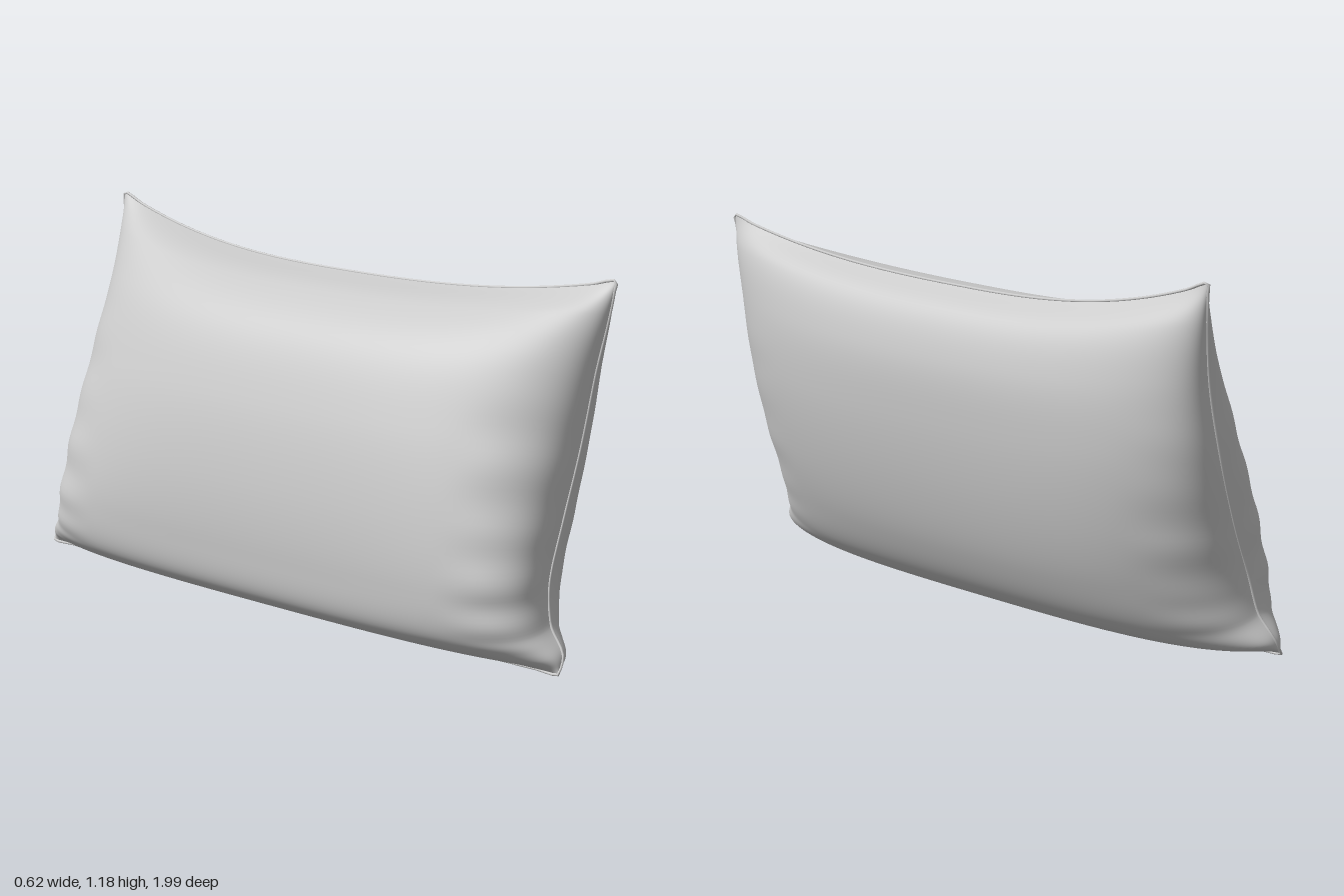
import * as THREE from 'three';

const curve = (pts) => new THREE.CatmullRomCurve3(pts.map(([x, y]) => new THREE.Vector3(x, y, 0)));

// Cross-sections from bottom seam to top seam (x, y)
const rightSection = curve([[-0.1, 0.008], [-0.213, 0.04], [-0.288, 0.1], [-0.31, 0.24], [-0.3, 0.45],
  [-0.24, 0.7], [-0.133, 0.915], [0.0, 1.007], [0.155, 1.04]]);
const leftSection = curve([[-0.1, 0.008], [0.04, 0.014], [0.13, 0.075], [0.21, 0.21], [0.272, 0.41],
  [0.306, 0.65], [0.301, 0.84], [0.246, 0.98], [0.155, 1.04]]);
// Leaning seam line at both ends
const endSeam = curve([[-0.125, 0.027], [-0.095, 0.08], [-0.082, 0.15], [-0.06, 0.27], [0.0, 0.43],
  [0.075, 0.65], [0.122, 0.87], [0.153, 1.035], [0.165, 1.135]]);
// Half-length (first number) against the same parameter, with pulled-out corners
const frontReach = curve([[0.992, 0], [0.985, 1], [0.935, 2], [0.912, 3], [0.912, 4],
  [0.922, 5], [0.937, 6], [0.958, 7], [0.969, 8]]);
const backReach = curve([[0.992, 0], [0.985, 1], [0.935, 2], [0.91, 3], [0.9, 4],
  [0.895, 5], [0.882, 6], [0.885, 7], [0.89, 8]]);

const { smoothstep: smooth, lerp } = THREE.MathUtils;

// Sagging sheet that carries the seam: u runs along z (-1..1), t from bottom to top
function seamSheet(u, t) {
  const end = endSeam.getPoint(t);
  const s = (end.y - 0.027) / 1.108;
  const mid = new THREE.Vector3(-0.1 + 0.255 * s, 0.008 + 1.032 * s, 0);
  if (u < 0) {
    end.y += 0.045 * smooth(t, 0.7, 1);
    end.x -= 0.012 * smooth(t, 0.7, 1);
  }
  const p = mid.clone().lerp(end, Math.pow(Math.abs(u), 2.6));
  p.z = u * (u < 0 ? backReach : frontReach).getPoint(t).x;
  return { p, mid };
}

// Gathered creases fading in towards the short ends
function crease(u, t, side) {
  const a = Math.abs(u);
  const fade = smooth(a, 0.7, 0.93) * smooth(t, 0.15, 0.3) * (1 - smooth(t, 0.5, 0.8));
  const phase = u < 0 ? 1.3 : 0;
  const wave = Math.sin(64 * t + phase + 2 * a) + 0.6 * Math.sin(37 * t + 2.1 * phase + side);
  return wave * fade * (side < 0 ? 0.014 : 0.006);
}

// One bulging side; low and high give [power, roundness] of its ends at the bottom and top
function panel(section, side, low, high) {
  const nu = 140, nv = 120, pos = [], index = [];
  for (let i = 0; i <= nu; i++) {
    const u = Math.sin((i / nu - 0.5) * Math.PI);
    for (let j = 0; j <= nv; j++) {
      const t = 0.5 - 0.5 * Math.cos((j / nv) * Math.PI);
      const k = smooth(t, 0.3, 0.8);
      const fill = Math.max(0, 1 - Math.pow(Math.abs(u), lerp(low[0], high[0], k)));
      const puff = Math.pow(fill, lerp(low[1], high[1], k));
      const { p, mid } = seamSheet(u, t);
      const fold = crease(u, t, side);
      p.addScaledVector(section.getPoint(t).sub(mid), puff * (1 + fold));
      p.z += Math.sign(u) * fold * 0.25 * puff;
      pos.push(p.x, p.y, p.z);
      if (i < nu && j < nv) {
        const a = i * (nv + 1) + j, b = a + nv + 1;
        if (side > 0) index.push(a, a + 1, b, b, a + 1, b + 1);
        else index.push(a, b, a + 1, b, b + 1, a + 1);
      }
    }
  }
  const geo = new THREE.BufferGeometry();
  geo.setAttribute('position', new THREE.Float32BufferAttribute(pos, 3));
  geo.setIndex(index);
  geo.computeVertexNormals();
  return geo;
}

// Thin piping following the whole outline
function piping() {
  const pts = [], n = 24;
  const walk = (fn) => { for (let i = 0; i < n; i++) pts.push(fn(i / n)); };
  walk((k) => seamSheet(-1 + 2 * k, 0).p);
  walk((k) => seamSheet(1, k).p);
  walk((k) => seamSheet(1 - 2 * k, 1).p);
  walk((k) => seamSheet(-1, 1 - k).p);
  return new THREE.TubeGeometry(new THREE.CatmullRomCurve3(pts, true), 300, 0.0045, 8, true);
}

export function createModel() {
  const model = new THREE.Group();
  model.name = 'pillow';
  const fabric = new THREE.MeshStandardMaterial({ color: 0xcccccc, side: THREE.DoubleSide });
  const add = (name, geo) => {
    const mesh = new THREE.Mesh(geo, fabric);
    mesh.name = name;
    model.add(mesh);
  };
  add('leftPanel', panel(leftSection, 1, [4.5, 0.4], [2.9, 0.4]));
  add('rightPanel', panel(rightSection, -1, [5, 0.33], [3, 0.42]));
  add('seamPiping', piping());
  return model;
}
